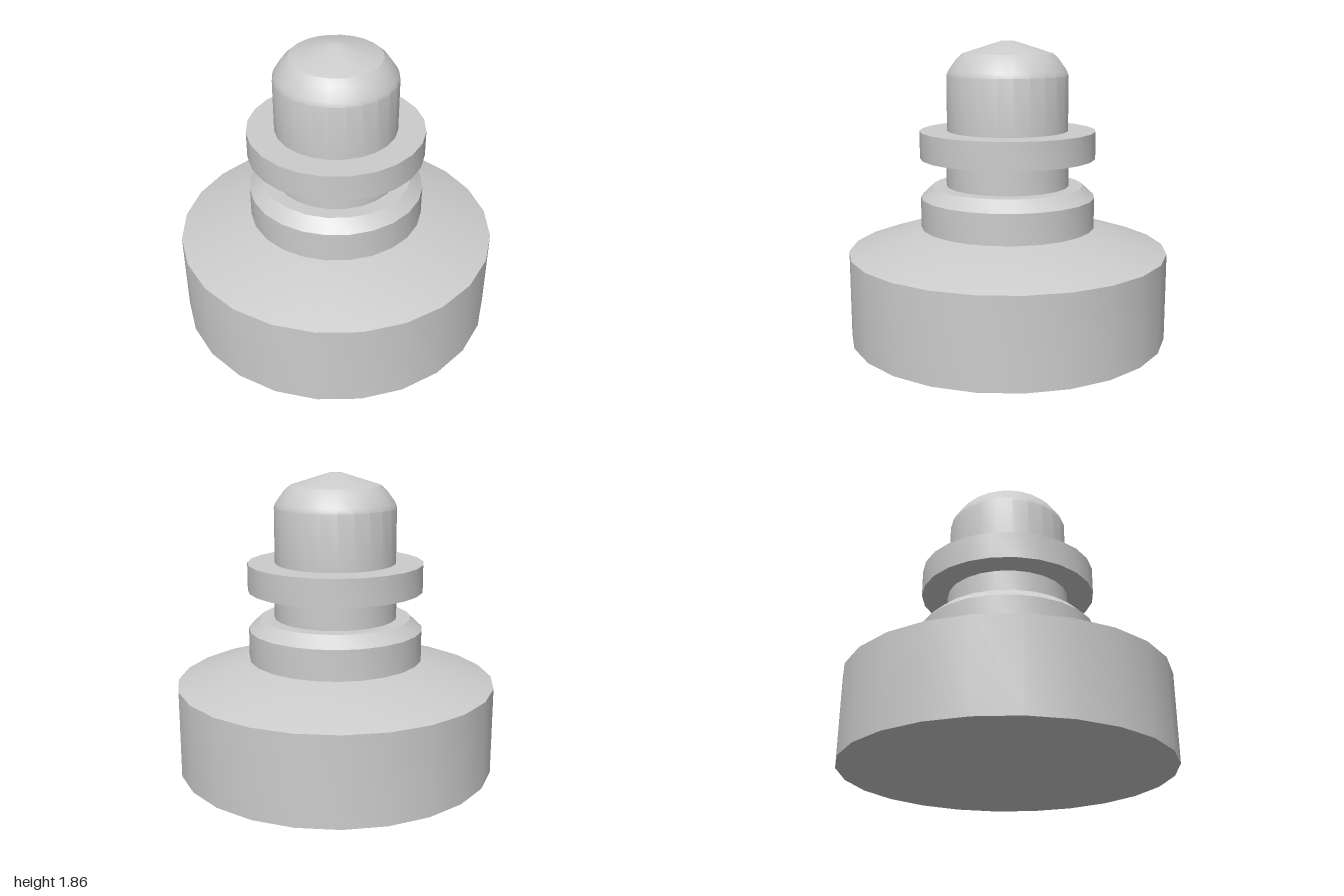
import * as THREE from 'three';
import { toCreasedNormals } from 'three/addons/utils/BufferGeometryUtils.js';

const SIDES = 24;
const material = new THREE.MeshStandardMaterial({ color: 0xcccccc });

// Turned part from [radius, height] pairs, listed bottom to top
function turned(name, profile) {
  const points = profile.map(([r, y]) => new THREE.Vector2(r, y));
  const geometry = toCreasedNormals(new THREE.LatheGeometry(points, SIDES), 0.4);
  const mesh = new THREE.Mesh(geometry, material);
  mesh.name = name;
  return mesh;
}

export function createModel() {
  const model = new THREE.Group();
  model.name = 'turnedKnob';
  model.add(
    // Wide drum with a sloping shoulder
    turned('base', [[0, 0], [1, 0], [1, 0.55], [0.545, 0.7], [0, 0.7]]),
    // Chamfered collar on the shoulder
    turned('collar', [[0.545, 0.695], [0.545, 0.89], [0.47, 0.96], [0, 0.96]]),
    // Neck between collar and flange
    turned('neck', [[0.383, 0.95], [0.383, 1.14]]),
    // Flat disc around the stem
    turned('flange', [[0, 1.135], [0.547, 1.135], [0.547, 1.305], [0, 1.305]]),
    // Stem with a rounded, slightly conical tip
    turned('stem', [[0.377, 1.3], [0.377, 1.645], [0.365, 1.675], [0.315, 1.745],
      [0.28, 1.777], [0.04, 1.853], [0, 1.855]]),
  );
  return model;
}
